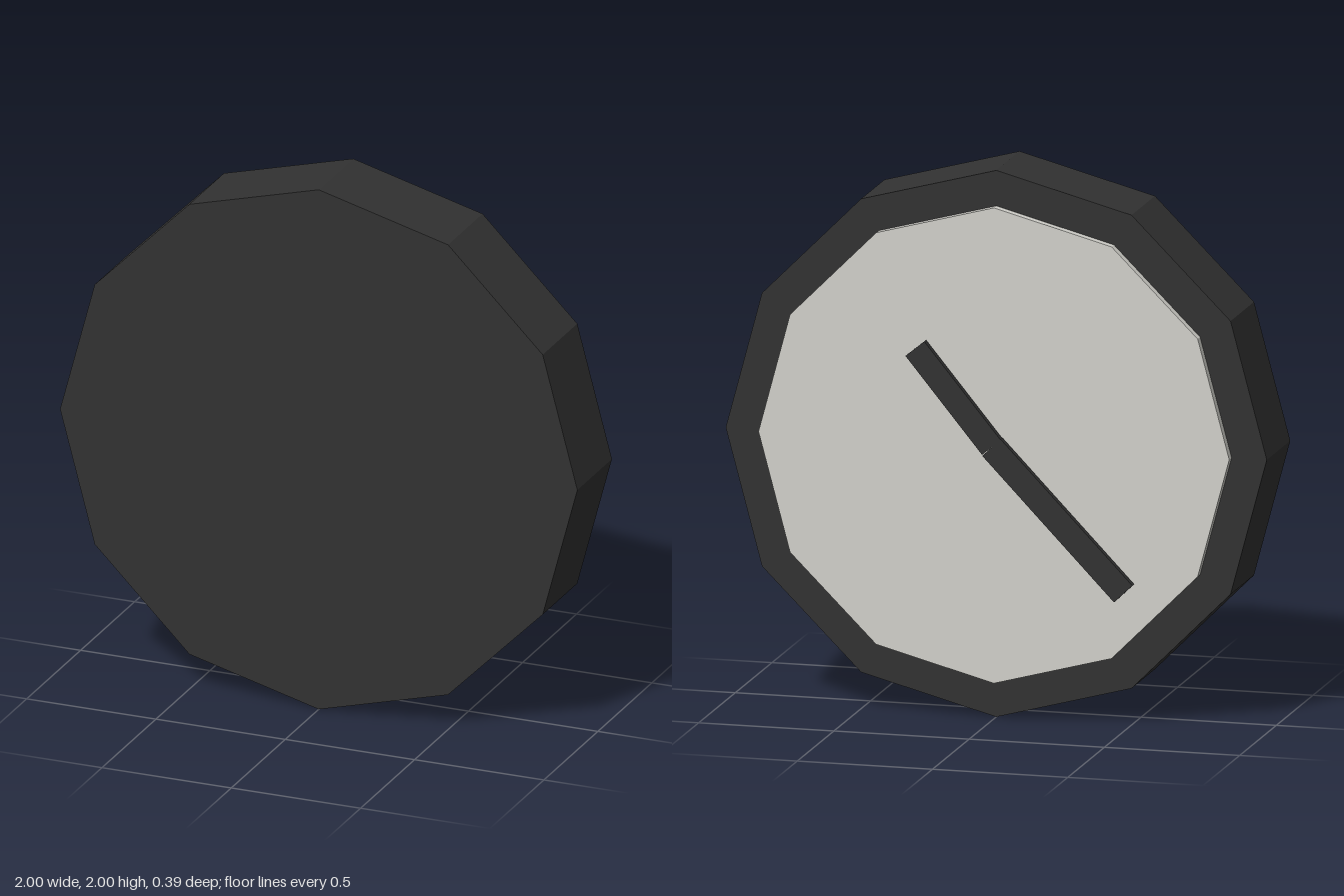
import * as THREE from 'three';

export function createModel() {
  const group = new THREE.Group();
  group.name = 'wallClock';

  const charcoal = new THREE.MeshStandardMaterial({ color: 0x323232, flatShading: true });
  charcoal.name = 'charcoal';
  const paleGrey = new THREE.MeshStandardMaterial({ color: 0xd2d1cb, flatShading: true });
  paleGrey.name = 'pale grey';

  const add = (name, geometry, material) => {
    const mesh = new THREE.Mesh(geometry, material);
    mesh.name = name;
    group.add(mesh);
  };

  // Twelve-sided disc spanning z0..z1
  const disc = (radius, z0, z1) =>
    new THREE.CylinderGeometry(radius, radius, z1 - z0, 12)
      .rotateX(Math.PI / 2)
      .translate(0, 1, (z0 + z1) / 2);

  add('clockCase', disc(1, -0.13, 0.19), charcoal);
  add('clockDial', disc(0.87, -0.163, -0.13), paleGrey);

  // Flat bar from the dial centre to a tip, floating just off the dial
  const hand = (tipX, tipY, width) =>
    new THREE.BoxGeometry(Math.hypot(tipX, tipY), width, 0.025)
      .rotateZ(Math.atan2(tipY, tipX))
      .translate(tipX / 2, 1 + tipY / 2, -0.1835);

  add('hourHand', hand(0.283, 0.345, 0.09), charcoal);
  add('minuteHand', hand(-0.487, -0.507, 0.094), charcoal);

  return group;
}
